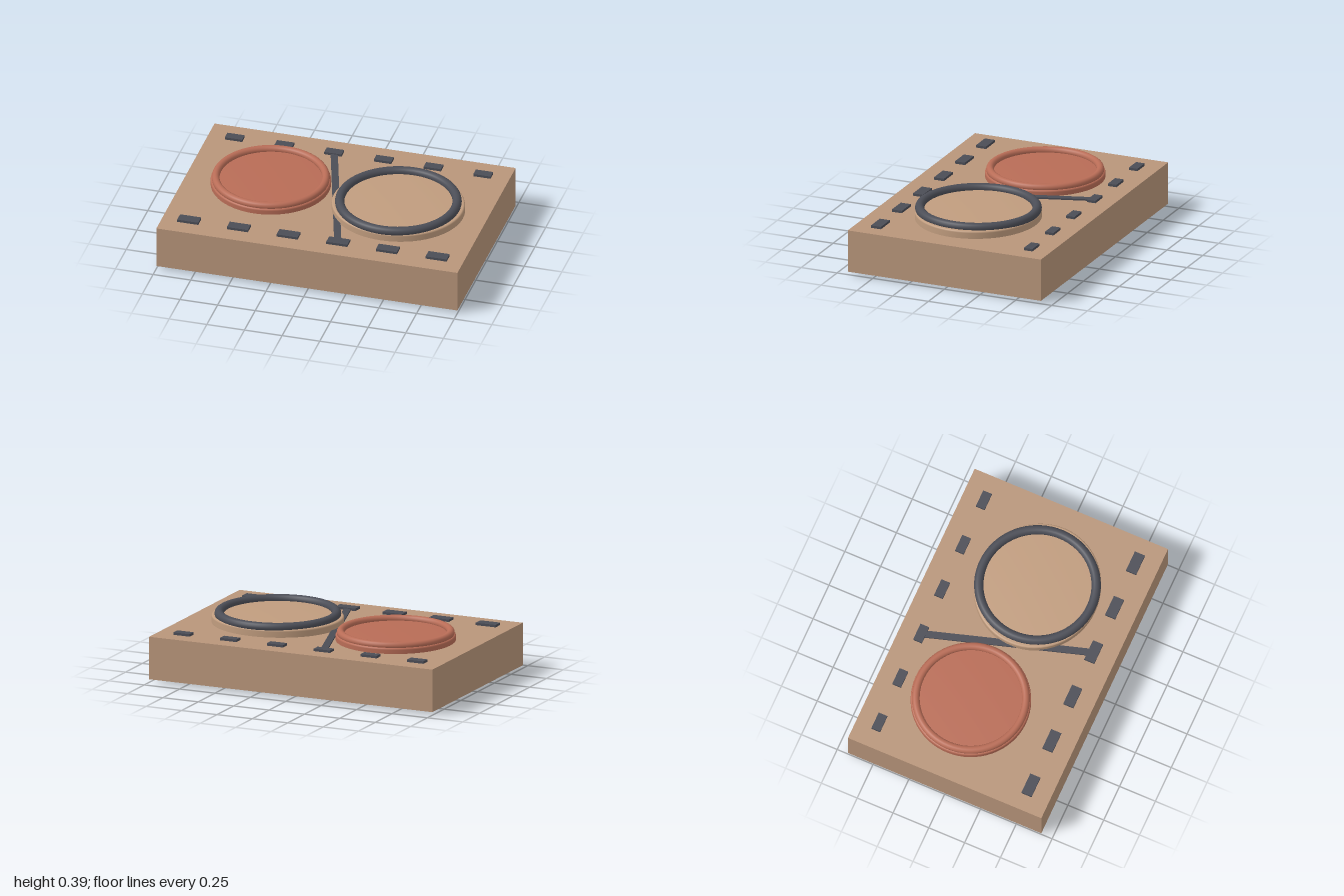
import * as THREE from 'three';

const mat = (name, color) => {
  const m = new THREE.MeshStandardMaterial({ color });
  m.name = name;
  return m;
};

export function createModel() {
  const model = new THREE.Group();
  const tan = mat('tan', 0xb8957a);
  const sand = mat('sand', 0xc09c7e);
  const terracotta = mat('terracotta', 0xb86c56);
  const slate = mat('slate', 0x4b4d56);
  const brass = mat('brass', 0xc8b46e);

  const add = (name, geometry, material, x, y, z) => {
    const mesh = new THREE.Mesh(geometry, material);
    mesh.name = name;
    mesh.position.set(x, y, z);
    model.add(mesh);
    return mesh;
  };
  const box = (name, material, w, h, d, x, y, z) =>
    add(name, new THREE.BoxGeometry(w, h, d), material, x, y, z);

  // Low disc with a rounded rim and a faintly domed top, standing on y = 0
  const discGeometry = (r, h, dome) => {
    const profile = [new THREE.Vector2(r, 0), new THREE.Vector2(r, h - 0.012)];
    for (let i = 1; i <= 4; i++) {
      const a = (i / 4) * Math.PI / 2;
      profile.push(new THREE.Vector2(r - 0.012 * (1 - Math.cos(a)), h - 0.012 + 0.012 * Math.sin(a)));
    }
    const rim = r - 0.012;
    for (let i = 1; i <= 6; i++) {
      const t = 1 - i / 6;
      profile.push(new THREE.Vector2(rim * t, h + dome * (1 - t * t)));
    }
    return new THREE.LatheGeometry(profile, 64);
  };
  const ringGeometry = (r, tube) => new THREE.TorusGeometry(r, tube, 16, 72).rotateX(Math.PI / 2);

  // Slab
  box('slab', tan, 2, 0.28, 1.35, 0, 0.16, 0);

  // Solid disc with matching rim
  add('redDisc', discGeometry(0.385, 0.038, 0.008), terracotta, -0.45, 0.3, -0.06);
  add('redRim', ringGeometry(0.352, 0.025), terracotta, -0.45, 0.347, -0.06);

  // Slightly oval disc with dark ring
  add('paleDisc', discGeometry(0.428, 0.05, 0.01), sand, 0.42, 0.3, 0.02).scale.z = 0.94;
  add('darkRing', ringGeometry(0.375, 0.03), slate, 0.42, 0.36, 0.02);

  // Diagonal bar between the discs
  box('diagonalBar', slate, 0.046, 0.01, 1.07, 0, 0.305, 0).rotation.y = 0.3;

  // Two rows of tabs
  for (let i = 0; i < 6; i++) {
    const x = -0.825 + i * 0.33;
    box('backTab', slate, 0.115, 0.016, 0.06, x, 0.308, -0.533);
    box('frontTab', slate, 0.14, 0.016, 0.07, x, 0.308, 0.525);
  }

  // Underside plate with four prongs
  box('undersidePlate', brass, 0.305, 0.02, 0.355, 0, 0.01, 0.0025);
  for (let i = 0; i < 4; i++) {
    box('prong', brass, 0.05, 0.02, 0.225, -0.126 + i * 0.084, 0.01, -0.2875);
  }

  return model;
}
